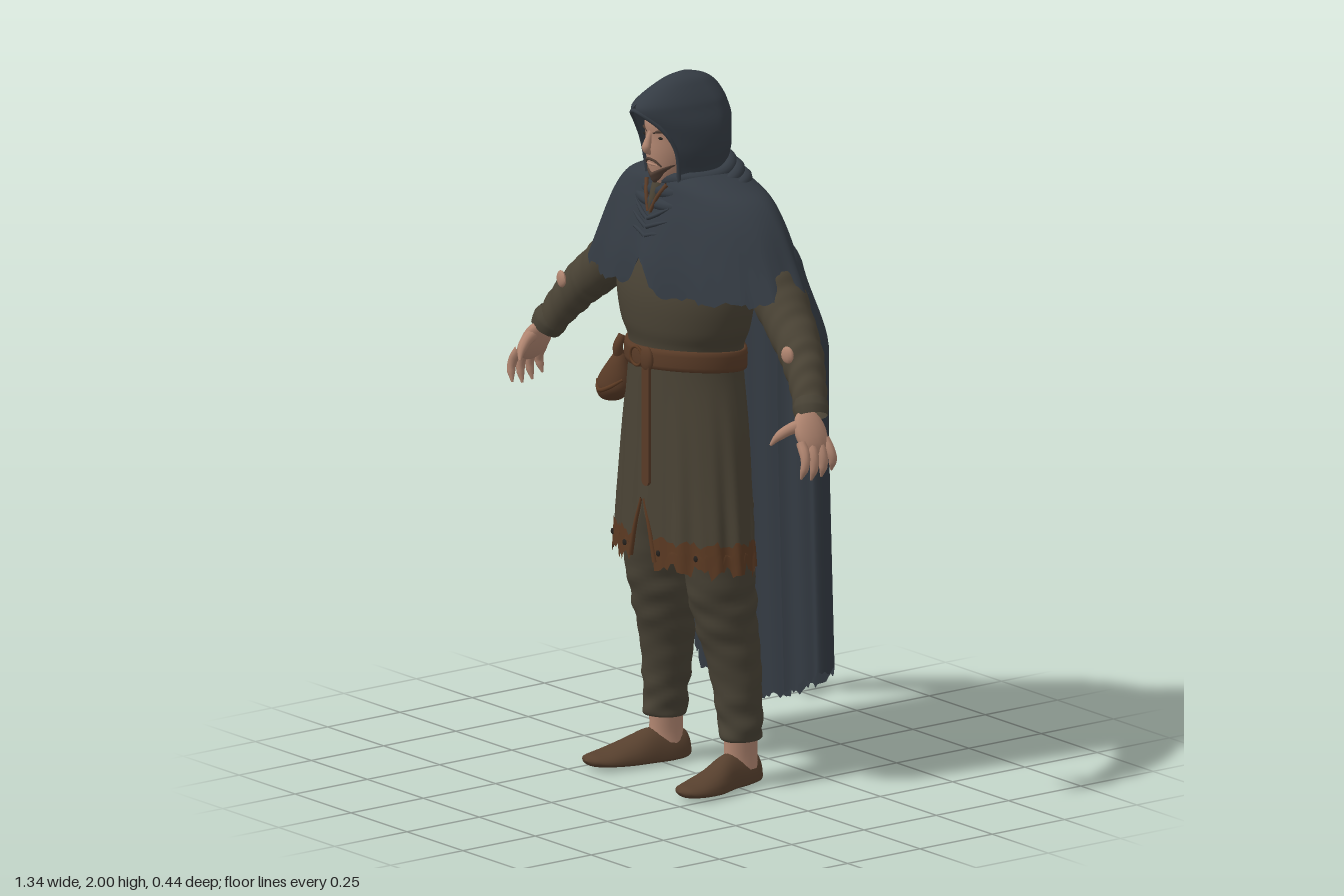
import * as THREE from 'three';

const V = (x, y, z) => new THREE.Vector3(x, y, z);
const { smoothstep, lerp, clamp } = THREE.MathUtils;
const material = (name, color, side = THREE.FrontSide) => {
  const m = new THREE.MeshStandardMaterial({ color, side });
  m.name = name;
  return m;
};

// Smooth grid surface; v runs bottom to top, u runs counter-clockwise seen from above
function surface(nu, nv, closed, fn) {
  const cols = closed ? nu : nu + 1, pos = [], idx = [];
  for (let j = 0; j <= nv; j++)
    for (let i = 0; i < cols; i++) pos.push(...fn(i / nu, j / nv).toArray());
  for (let j = 0; j < nv; j++)
    for (let i = 0; i < nu; i++) {
      const a = j * cols + i, b = j * cols + (i + 1) % cols;
      idx.push(a, b, b + cols, a, b + cols, a + cols);
    }
  const g = new THREE.BufferGeometry();
  g.setAttribute('position', new THREE.Float32BufferAttribute(pos, 3));
  g.setIndex(idx);
  g.computeVertexNormals();
  return g;
}

// Catmull-Rom blend of table rows
function blend(rows, v) {
  const n = rows.length, f = v * (n - 1), i = Math.min(Math.floor(f), n - 2), k = f - i;
  const r = (j) => rows[clamp(j, 0, n - 1)];
  return rows[0].map((_, c) => {
    const p0 = r(i - 1)[c], p1 = r(i)[c], p2 = r(i + 1)[c], p3 = r(i + 2)[c];
    return p1 + 0.5 * k * (p2 - p0 + k * (2 * p0 - 5 * p1 + 4 * p2 - p3 + k * (3 * (p1 - p2) + p3 - p0)));
  });
}

// Horizontal rings: [y, half width, front z, middle z, back z, front opening, middle x]
function loft(rows, { seg = 48, sub = 5, fn } = {}) {
  const closed = !rows.some((r) => r[5] > 0);
  return surface(seg, (rows.length - 1) * sub, closed, (u, v) => {
    const [y, rx, zf, zc, zb, open = 0, xc = 0] = blend(rows, v);
    const t0 = Math.asin(clamp(open / rx, 0, 1));
    const t = t0 + u * (2 * Math.PI - 2 * t0), c = Math.cos(t);
    const p = V(xc + rx * Math.sin(t), y, zc + (c > 0 ? zf - zc : zc - zb) * c);
    if (fn) fn(p, t, v);
    return p;
  });
}

// Round limb along a curve with changing radius
function limb(points, radii, { seg = 12, n = 16, closed = false, wrinkle } = {}) {
  const curve = new THREE.CatmullRomCurve3(points.map((p) => V(...p)), closed);
  const fr = curve.computeFrenetFrames(n, closed);
  return surface(seg, n, true, (u, v) => {
    const i = Math.round(v * n), a = u * 2 * Math.PI, f = v * (radii.length - 1);
    const k = Math.min(Math.floor(f), radii.length - 2);
    let r = lerp(radii[k], radii[k + 1], f - k);
    if (wrinkle) r *= wrinkle(a, v);
    return curve.getPointAt(v).addScaledVector(fr.normals[i], r * Math.cos(a)).addScaledVector(fr.binormals[i], r * Math.sin(a));
  });
}

function mirrored(geo) {
  const g = geo.clone().scale(-1, 1, 1), ix = g.index.array;
  for (let i = 0; i < ix.length; i += 3) [ix[i], ix[i + 1]] = [ix[i + 1], ix[i]];
  g.computeVertexNormals();
  return g;
}

const jag = (t) => Math.sin(t * 17) * 0.5 + Math.sin(t * 41 + 1) * 0.35 + Math.sin(t * 73 + 2) * 0.25;

export function createModel() {
  const model = new THREE.Group();
  model.name = 'hoodedTraveller';
  const cloth = material('slate cloak', 0x343b43, THREE.DoubleSide);
  const wool = material('olive wool', 0x4a4335, THREE.DoubleSide);
  const trouser = material('trouser cloth', 0x484235, THREE.DoubleSide);
  const leather = material('belt leather', 0x593b27, THREE.DoubleSide);
  const trimMat = material('rust trim', 0x5a3922, THREE.DoubleSide);
  const shoeMat = material('shoe leather', 0x57402e);
  const skin = material('skin', 0xb08570);
  const hair = material('dark hair', 0x4f3d33);
  const dark = material('dark detail', 0x25211d, THREE.DoubleSide);

  const add = (name, geo, mat) => {
    const m = new THREE.Mesh(geo, mat);
    m.name = name;
    model.add(m);
  };
  const pair = (name, geo, mat) => {
    add(name + 'Left', geo, mat);
    add(name + 'Right', mirrored(geo), mat);
  };

  // Head and face
  add('head', loft([[1.64, .05, .08, .02, -.04], [1.69, .042, .138, .05, -.04], [1.73, .062, .153, .05, -.05], [1.78, .078, .16, .04, -.06],
    [1.83, .082, .16, .04, -.06], [1.88, .078, .16, .04, -.06], [1.93, .05, .12, .04, -.04], [1.95, .004, .05, .04, .03]]), skin);
  add('beard', loft([[1.69, .02, .12, .07, 0], [1.696, .046, .145, .05, -.02], [1.712, .06, .155, .05, -.03], [1.724, .07, .157, .05, -.03], [1.734, .068, .142, .05, -.02]],
    { fn: (p) => { p.y += Math.abs(p.x) * .55; } }), hair);
  add('nose', limb([[0, 1.85, .155], [0, 1.815, .168], [0, 1.797, .172], [0, 1.782, .158]], [.005, .009, .013, .005]), skin);
  add('moustache', limb([[-.034, 1.748, .145], [-.018, 1.763, .155], [0, 1.767, .159], [.018, 1.763, .155], [.034, 1.748, .145]], [.002, .004, .004, .004, .002]), hair);
  add('mouth', limb([[-.022, 1.751, .152], [0, 1.753, .158], [.022, 1.751, .152]], [.002, .004, .002]), skin);
  pair('eye', new THREE.SphereGeometry(1, 12, 8).scale(.012, .004, .004).translate(.031, 1.83, .149), dark);
  pair('brow', limb([[.012, 1.842, .157], [.035, 1.85, .151], [.058, 1.842, .128]], [.003, .005, .002]), hair);

  // Hood with front opening and rolled rim
  add('hood', loft([[1.66, .12, .13, 0, -.1, .072], [1.72, .1, .15, 0, -.078, .068], [1.8, .109, .18, 0, -.088, .077], [1.86, .105, .197, 0, -.092, .06],
    [1.905, .09, .213, 0, -.086, .018], [1.93, .08, .205, 0, -.078, 0], [1.96, .06, .16, .01, -.056, 0], [1.985, .037, .105, .02, -.02, 0], [2, .0004, .0404, .04, .0396, 0]],
  { seg: 56, fn: (p, t) => { p.z += Math.sin(p.y * 60 + t * 2) * .002; } }), cloth);
  add('hoodRim', limb([[-.07, 1.7, .112], [-.076, 1.8, .128], [-.06, 1.86, .162], [-.02, 1.905, .207], [0, 1.912, .213], [.02, 1.905, .207], [.06, 1.86, .162], [.076, 1.8, .128], [.07, 1.7, .112]], [.006, .006], { n: 40, seg: 8 }), cloth);
  // Gathered folds around the neck, dipping at the front
  [[.112, 1.728, .019], [.14, 1.705, .02], [.17, 1.685, .018]].forEach(([r, y, w], k) => {
    const pts = [];
    for (let i = 0; i < 16; i++) {
      const a = i / 16 * 2 * Math.PI, c = Math.cos(a);
      const dip = c > 0 ? .025 + k * .012 : .016 + k * .004, reach = c > 0 ? .12 + k * .012 : .08 + k * .016;
      pts.push([r * Math.sin(a), y - c * dip + Math.sin(a * 3 + k) * .006, c * reach]);
    }
    add('neckFold' + (k + 1), limb(pts, [w, w], { n: 64, seg: 10, closed: true }), cloth);
  });

  // Shoulder cape with ragged hem and front notch
  add('shoulderCape', loft([[1.425, .425, .2, -.04, -.155], [1.5, .385, .19, -.04, -.154], [1.6, .332, .165, -.03, -.146], [1.665, .275, .145, -.02, -.136], [1.7, .2, .135, 0, -.122], [1.73, .12, .115, 0, -.1]],
    { seg: 160, fn: (p, t, v) => {
      const low = Math.max(0, 1 - v * 2.2), c = Math.max(0, Math.cos(t)), d = Math.min(t, 2 * Math.PI - t);
      p.y += low * low * (jag(t) * .012 - c * .022 + .085 * Math.exp(-d * d * 110));
      p.z += low * c * Math.sin(t * 12) * .007;
      p.x += low * Math.sin(t * 16) * .004;
    } }), cloth);
  // Collar opening and gathered creases below it
  add('collarOpening', limb([[0, 1.7, .122], [0, 1.67, .138], [0, 1.64, .153], [0, 1.61, .16]], [.022, .018, .011, .003]), wool);
  pair('collarEdge', limb([[.045, 1.7, .136], [.025, 1.665, .153], [.005, 1.62, .163]], [.006, .005]), leather);
  for (let i = 0; i < 3; i++)
    pair('crease' + (i + 1), limb([[.002, 1.553 + i * .024, .178 - i * .004], [.03, 1.562 + i * .026, .173 - i * .004], [.075, 1.568 + i * .036, .164 - i * .006]], [.006, .006, .002], { seg: 8, n: 8 }), cloth);

  // Long cloak hanging behind, its front edges folded inward and its top tucked into the cape
  const plan = new THREE.CatmullRomCurve3([V(0, 0, -.163), V(.12, 0, -.163), V(.23, 0, -.16), V(.305, 0, -.195), V(.37, 0, -.165), V(.345, 0, -.11), V(.25, 0, -.09)]);
  add('cloak', surface(150, 56, false, (s, v) => {
    const u = 1 - 2 * s, w = Math.abs(u), p = plan.getPoint(w);
    const bottom = .2 + .14 * Math.pow(p.x / .37, 2) + jag(u * 3) * .014;
    const y = lerp(bottom, 1.67, v), k = smoothstep(y, 1.25, 1.56), tuck = smoothstep(y, 1.5, 1.67);
    const fold = (Math.sin(u * 19) * .008 + Math.sin(u * 43 + 1) * .005) * (1 - .75 * k);
    const a = w * Math.PI / 2, flare = 1 + .03 * smoothstep(y, .9, 1.3);
    const x = lerp(p.x * flare, .375 * Math.sin(a), k) * (1 - .35 * tuck);
    const z = lerp(p.z + (y - 1) * .03 + fold, -.055 - .104 * Math.cos(a) + fold * .6, k) + tuck * .04;
    return V(Math.sign(u) * x, y, z);
  }), cloth);

  // Tunic with a slit skirt
  const drape = (p, t) => {
    const k = clamp((1.15 - p.y) / .4, 0, 1);
    const f = 1 + k * (Math.sin(t * 14) * .018 + Math.sin(t * 23 + 1) * .01);
    p.x *= f;
    p.z *= f;
    if (p.y < .67) p.y += jag(t) * .024;
  };
  add('tunic', loft([[.64, .255, .188, .02, -.085, .055], [.73, .248, .186, .02, -.085, .03], [.81, .24, .184, .02, -.09, 0], [1, .218, .18, .02, -.095, 0], [1.17, .188, .178, .02, -.095, 0], [1.24, .19, .178, .02, -.095, 0],
    [1.3, .22, .192, .02, -.1, 0], [1.4, .238, .195, .02, -.11, 0], [1.52, .22, .165, .01, -.11, 0], [1.62, .15, .11, 0, -.09, 0], [1.7, .065, .09, .01, -.05, 0]], { seg: 128, fn: drape }), wool);
  add('hemTrim', loft([[.63, .259, .192, .02, -.089, .055], [.675, .255, .19, .02, -.088, .046], [.706, .252, .189, .02, -.088, .038]],
    { seg: 128, fn: (p, t, v) => { drape(p, t); p.y += v * jag(t + 2) * .014; } }), trimMat);
  pair('slitTrim', limb([[.055, .64, .185], [.032, .73, .186], [.006, .81, .185]], [.008, .004]), trimMat);
  for (const x of [.075, .185])
    pair('eyelet', new THREE.SphereGeometry(.009, 8, 6).scale(1, 1, .4).translate(x, .67, .023 + .174 * Math.sqrt(1 - (x / .259) ** 2)), dark);

  // Belt, buckle and hanging strap
  add('belt', loft([[1.18, .185, .17, .02, -.09], [1.182, .196, .188, .02, -.105], [1.208, .198, .19, .02, -.106], [1.236, .197, .188, .02, -.105], [1.238, .185, .17, .02, -.09]], { sub: 2, fn: (p, t) => { p.y += Math.sin(t * 2) * .006; } }), leather);
  add('beltStrap', new THREE.BoxGeometry(.032, .34, .009).translate(.025, 1.035, .192), leather);
  add('strapTip', new THREE.CylinderGeometry(.016, .016, .009, 16).rotateX(Math.PI / 2).translate(.025, .868, .192), leather);
  add('beltKnot', new THREE.SphereGeometry(1, 14, 10).scale(.026, .036, .012).translate(.025, 1.21, .19), leather);
  add('buckle', new THREE.TorusGeometry(.026, .004, 8, 20).translate(-.02, 1.21, .192), trimMat);
  // Drooping pouch
  add('pouch', loft([[1.037, .004, .14, .135, .13, 0, -.205], [1.045, .035, .165, .135, .11, 0, -.203], [1.075, .056, .182, .135, .09, 0, -.192], [1.11, .052, .178, .135, .09, 0, -.183],
    [1.15, .033, .165, .135, .1, 0, -.172], [1.18, .018, .15, .13, .11, 0, -.165]], { seg: 24 }), leather);
  add('pouchFlap', limb([[-.228, 1.095, .165], [-.195, 1.075, .185], [-.16, 1.088, .178], [-.135, 1.11, .15]], [.004, .006, .006, .004]), trimMat);
  add('pouchLoop', limb([[-.16, 1.23, .13], [-.162, 1.2, .145], [-.166, 1.165, .135]], [.012, .016]), leather);

  // Legs, ankles and shoes
  pair('trouserLeg', loft([[.13, .05, .02, -.03, -.07, 0, .168], [.14, .058, .038, -.025, -.085, 0, .168], [.2, .062, .04, -.025, -.085, 0, .165], [.34, .075, .058, -.015, -.09, 0, .15],
    [.47, .083, .096, .005, -.085, 0, .138], [.6, .088, .125, .02, -.08, 0, .135], [.8, .1, .14, .02, -.08, 0, .12]],
  { seg: 32, sub: 10, fn: (p, t) => {
    const f = (Math.sin(p.y * 95 + Math.sin(t) * 4) * .0016 + Math.sin(p.y * 61 - t * 2) * .0014) * (p.y < .26 || (p.y > .4 && p.y < .56) ? 1.4 : .6);
    p.x += Math.sin(t) * f;
    p.z += Math.cos(t) * f;
  } }), trouser);
  pair('ankle', loft([[.05, .042, .035, -.03, -.075, 0, .166], [.09, .039, .026, -.03, -.074, 0, .167], [.16, .042, .025, -.03, -.073, 0, .167]], { seg: 20 }), skin);
  const shoe = [[-.09, .158, .0005, .031, .03], [-.08, .16, .035, .08, .005], [-.03, .165, .048, .088, 0], [.03, .175, .051, .096, 0], [.1, .193, .059, .068, 0], [.165, .203, .055, .048, .004], [.205, .208, .036, .04, .01], [.22, .208, .0005, .026, .025]];
  pair('shoe', surface(24, 42, true, (u, v) => {
    const [z, x, w, top, low] = blend(shoe, v), a = u * 2 * Math.PI, s = Math.sin(a);
    const h = Math.min(.015, (top - low) / 2);
    return V(x + w * Math.cos(a), low + h + s * (s > 0 ? top - low - h : h), z);
  }), shoeMat);

  // Arms with wrinkled sleeves and bound cuffs
  pair('sleeve', limb([[.2, 1.58, -.03], [.3, 1.47, -.025], [.4, 1.365, -.01], [.48, 1.295, .01], [.545, 1.22, .035], [.59, 1.15, .06]], [.083, .083, .078, .07, .062, .052, .043],
    { seg: 24, n: 80, wrinkle: (a, v) => 1 + Math.sin(v * 70 + Math.sin(a) * 4) * (v > .65 ? .035 : .012) + Math.sin(v * 38 - a * 2) * .015 }), wool);
  pair('cuffBand', limb([[.572, 1.185, .047], [.584, 1.165, .056], [.594, 1.147, .061]], [.047, .05, .045]), trouser);
  pair('tornPatch', new THREE.SphereGeometry(1, 10, 8).scale(.022, .024, .01).rotateY(.2).translate(.505, 1.305, .075), skin);

  // Hands
  pair('palm', new THREE.SphereGeometry(1, 16, 12).scale(.026, .068, .05).rotateZ(.5).translate(.615, 1.11, .08), skin);
  for (let i = 0; i < 4; i++) {
    const z = .042 + i * .027, fan = (i - 1.3) * .005, d = [.018, .004, 0, .008][i];
    pair('finger' + (i + 1), limb([[.628, 1.09, z], [.652, 1.055, z + fan * .5], [.656, 1.02 + d, z + fan], [.645, .985 + d, z + fan * 1.6]], [.014, .0145, .013, .011, .003], { seg: 10 }), skin);
  }
  pair('thumb', limb([[.605, 1.135, .09], [.587, 1.12, .135], [.572, 1.1, .162], [.56, 1.078, .176]], [.02, .017, .014, .004], { seg: 10 }), skin);

  return model;
}
